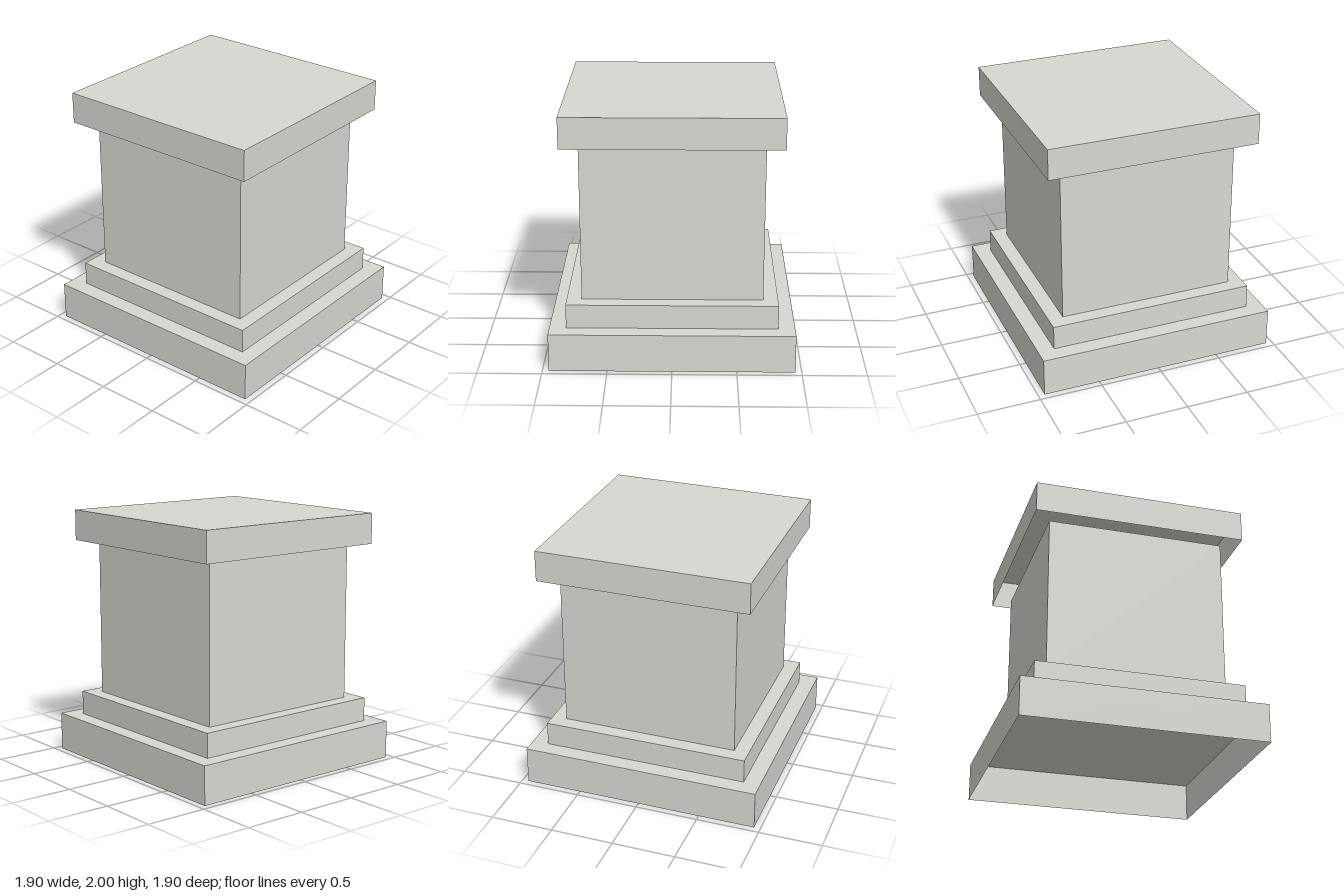
import * as THREE from 'three';

// Square block with four walls and a top, open underneath
function openBlock(halfWidth, bottom, top) {
  const geometry = new THREE.BoxGeometry(halfWidth * 2, top - bottom, halfWidth * 2);
  const underside = geometry.groups[3];
  const index = Array.from(geometry.index.array);
  index.splice(underside.start, underside.count);
  geometry.setIndex(index);
  geometry.clearGroups();
  geometry.translate(0, (bottom + top) / 2, 0);
  return geometry;
}

export function createModel() {
  const group = new THREE.Group();
  group.name = 'pedestal';

  const stone = new THREE.MeshStandardMaterial({ color: 0xd9d7d1, side: THREE.DoubleSide });
  stone.name = 'pale grey stone';

  // Name, half width, bottom and top of each tier
  const tiers = [
    ['basePlinth', 0.95, 0, 0.305],
    ['baseStep', 0.82, 0.305, 0.497],
    ['shaft', 0.704, 0.497, 1.755],
    ['capSlab', 0.84, 1.755, 2],
  ];
  for (const [name, halfWidth, bottom, top] of tiers) {
    const mesh = new THREE.Mesh(openBlock(halfWidth, bottom, top), stone);
    mesh.name = name;
    group.add(mesh);
  }
  return group;
}
